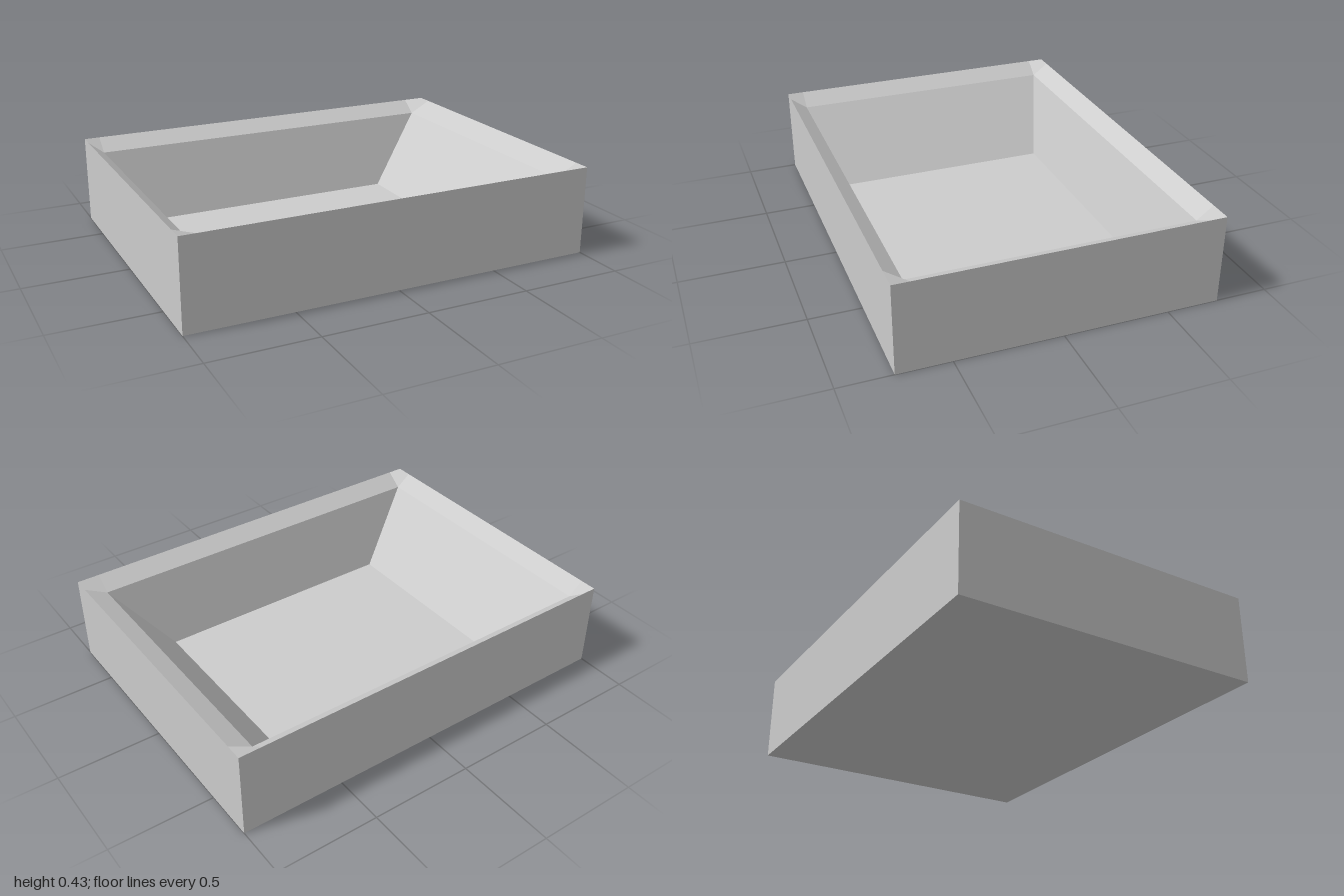
import * as THREE from 'three';

// Rectangular ring of corners: front-left, front-right, back-right, back-left
const ring = (x0, x1, z, y) => [[x0, y, z], [x1, y, z], [x1, y, -z], [x0, y, -z]]
  .map(p => new THREE.Vector3(...p));

// Mesh made of four-cornered faces, each shaded with one normal
function faces(name, quads, material) {
  const positions = [], normals = [];
  for (const [a, b, c, d] of quads) {
    const n = c.clone().sub(a).cross(d.clone().sub(b)).normalize();
    for (const p of [a, b, d, b, c, d]) {
      positions.push(p.x, p.y, p.z);
      normals.push(n.x, n.y, n.z);
    }
  }
  const geometry = new THREE.BufferGeometry();
  geometry.setAttribute('position', new THREE.Float32BufferAttribute(positions, 3));
  geometry.setAttribute('normal', new THREE.Float32BufferAttribute(normals, 3));
  const mesh = new THREE.Mesh(geometry, material);
  mesh.name = name;
  return mesh;
}

// Band of faces joining two rings
const band = (lower, upper) => lower.map((p, i) => {
  const j = (i + 1) % 4;
  return [p, lower[j], upper[j], upper[i]];
});

export function createModel() {
  const grey = new THREE.MeshStandardMaterial({ color: 0xcccccc });
  grey.name = 'light grey';

  const base = ring(-1, 1, 0.75, 0);
  const top = ring(-1, 1, 0.75, 0.43);
  const lip = ring(-0.925, 0.89, 0.67, 0.37);
  const floor = ring(-0.645, 0.61, 0.56, 0.008);

  // Point on the outer top edge of a side, level with a lip corner
  const edge = (corner, side) => side % 2 === 0
    ? new THREE.Vector3(lip[corner].x, 0.43, top[corner].z)
    : new THREE.Vector3(top[corner].x, 0.43, lip[corner].z);

  // Inward-sloping rim: four strips and four corner facets
  const strips = [], corners = [];
  for (let i = 0; i < 4; i++) {
    const j = (i + 1) % 4;
    strips.push([edge(i, i), edge(j, i), lip[j], lip[i]]);
    corners.push([top[i], edge(i, i), lip[i], edge(i, i + 3)]);
  }

  const tray = new THREE.Group();
  tray.name = 'tray';
  tray.add(
    faces('outerWalls', band(base, top), grey),
    faces('rimStrips', strips, grey),
    faces('rimCorners', corners, grey),
    faces('innerWalls', band(lip, floor), grey),
    faces('floor', [floor], grey),
    faces('underside', [[...base].reverse()], grey),
  );
  return tray;
}
